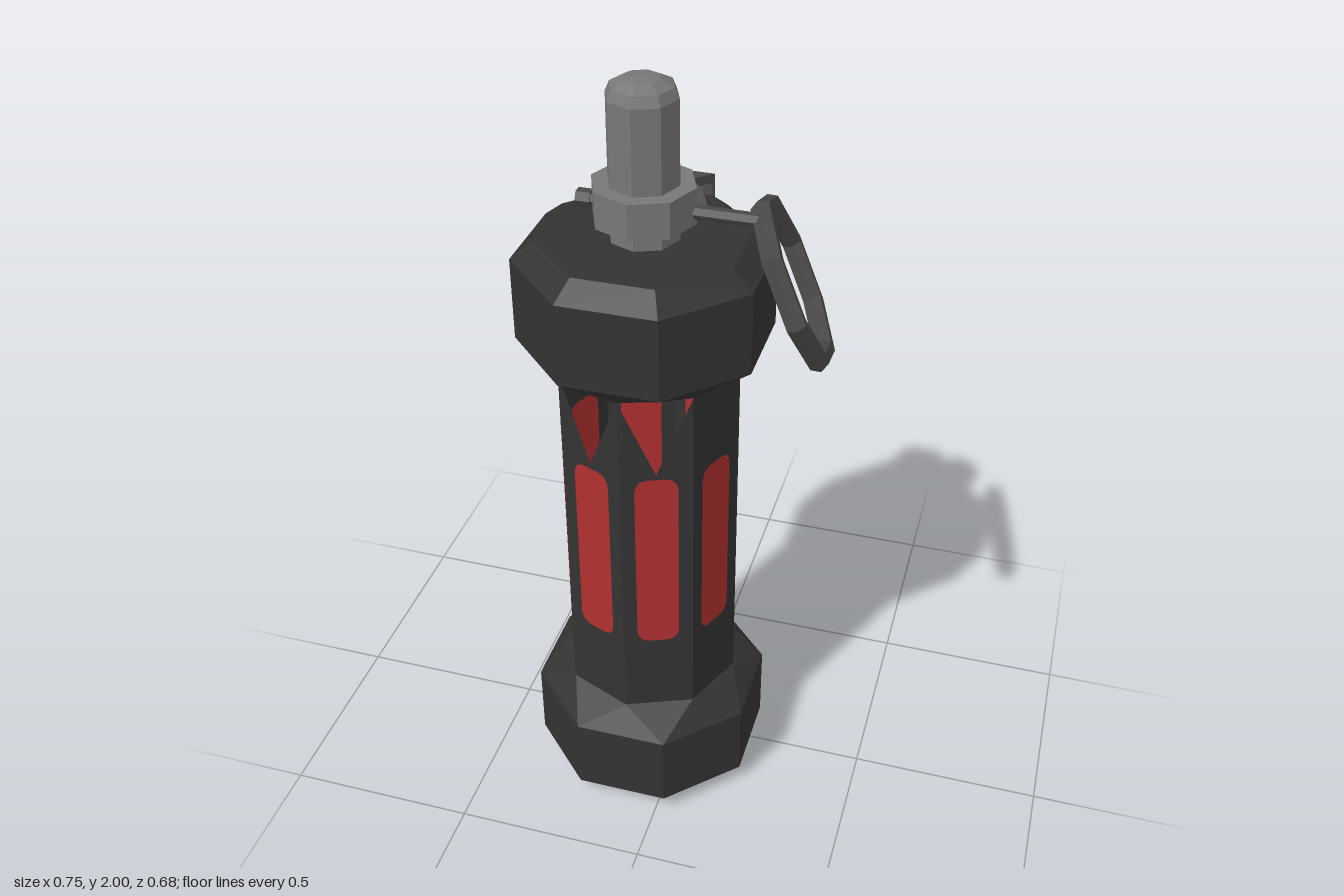
import * as THREE from 'three';
import { ConvexGeometry } from 'three/addons/geometries/ConvexGeometry.js';

const STEP = Math.PI / 4;
const paint = (color, side = THREE.FrontSide) =>
  new THREE.MeshStandardMaterial({ color, side, flatShading: true });
const dark = paint(0x333333);
const shell = paint(0x333333, THREE.DoubleSide);
const red = paint(0xb03030, THREE.DoubleSide);
const steel = paint(0x777777);
const leverGrey = paint(0x505050);
const ringGrey = paint(0x484848);

const BODY_R = 0.235;
const BODY_BOTTOM = 0.325;
const BODY_TOP = 1.3;

function part(name, geometry, material, parent) {
  const mesh = new THREE.Mesh(geometry, material);
  mesh.name = name;
  parent.add(mesh);
  return mesh;
}

const polygon = (points) => new THREE.Shape(points.map(([x, y]) => new THREE.Vector2(x, y)));

// Octagonal ring of points; phase is the angle of the first corner
function octagon(radius, y, phase) {
  return Array.from({ length: 8 }, (_, i) => {
    const a = phase + i * STEP;
    return new THREE.Vector3(Math.sin(a) * radius, y, Math.cos(a) * radius);
  });
}

// Solid end cap: flat-sided rings plus one ring matching the body corners
function capGeometry(flatRings, bodyY) {
  const points = octagon(BODY_R, bodyY, 0);
  for (const [halfWidth, y] of flatRings) {
    points.push(...octagon(halfWidth / Math.cos(STEP / 2), y, STEP / 2));
  }
  return new ConvexGeometry(points);
}

// Upright slot with softly rounded ends
function windowOutline(target) {
  const w = 0.054, lo = 0.55, hi = 1.07, r = 0.04;
  target.moveTo(-w, lo + r);
  target.quadraticCurveTo(-w, lo, -w * 0.35, lo);
  target.lineTo(w * 0.35, lo);
  target.quadraticCurveTo(w, lo, w, lo + r);
  target.lineTo(w, hi - r);
  target.quadraticCurveTo(w, hi, w * 0.35, hi);
  target.lineTo(-w * 0.35, hi);
  target.quadraticCurveTo(-w, hi, -w, hi - r);
  target.closePath();
  return target;
}

// Eight thin wall panels with coloured windows; three have a V notch at the top
function addBody(parent) {
  const half = BODY_R * Math.sin(STEP / 2);
  const inradius = BODY_R * Math.cos(STEP / 2);
  const notched = [0, 6, 7];
  const body = new THREE.Group();
  body.name = 'body';
  parent.add(body);
  for (let i = 0; i < 8; i++) {
    const corners = [[-half, BODY_BOTTOM], [half, BODY_BOTTOM], [half, BODY_TOP]];
    if (notched.includes(i)) corners.push([0, 1.085]);
    corners.push([-half, BODY_TOP]);
    const wall = polygon(corners);
    wall.holes.push(windowOutline(new THREE.Path()));
    const panel = new THREE.Group();
    panel.name = 'bodyPanel';
    panel.rotation.y = (i + 0.5) * STEP;
    part('wall', new THREE.ShapeGeometry(wall, 5), shell, panel).position.z = inradius;
    part('window', new THREE.ShapeGeometry(windowOutline(new THREE.Shape()), 5), red, panel)
      .position.z = inradius;
    body.add(panel);
  }
}

// Safety lever: bent strip plus a forked plate around the stem
function addLever(parent) {
  const lever = new THREE.Group();
  lever.name = 'lever';
  parent.add(lever);
  const strip = new THREE.ExtrudeGeometry(polygon([
    [0.145, 1.672], [0.365, 1.585], [0.365, 0.607], [0.267, 0.607], [0.267, 0.585],
    [0.387, 0.585], [0.387, 1.6], [0.145, 1.695],
  ]), { depth: 0.125, bevelEnabled: false });
  strip.rotateY(Math.PI / 2).translate(-0.0625, 0, 0);
  part('leverStrip', strip, leverGrey, lever);

  const rightEdge = [[0.0625, 0.155], [0.105, 0.115], [0.145, 0.02], [0.09, 0.02], [0.06, 0.1]];
  const leftEdge = rightEdge.map(([x, y]) => [-x, y]).reverse();
  const fork = new THREE.ExtrudeGeometry(
    polygon([...rightEdge, [0, 0.14], ...leftEdge]), { depth: 0.022, bevelEnabled: false });
  fork.rotateX(-Math.PI / 2).translate(0, 1.672, 0);
  part('leverFork', fork, leverGrey, lever);
}

// Pull pin through the collar, with a small head and a tilted octagonal ring
function addPin(parent) {
  const pin = new THREE.Group();
  pin.name = 'pullPin';
  parent.add(pin);
  const shaft = part('pinShaft', new THREE.CylinderGeometry(0.017, 0.017, 0.44, 6), ringGrey, pin);
  shaft.rotation.z = Math.PI / 2;
  shaft.position.set(0.06, 1.69, 0);
  const head = part('pinHead', new THREE.CylinderGeometry(0.022, 0.022, 0.035, 6), ringGrey, pin);
  head.rotation.z = Math.PI / 2;
  head.position.set(-0.143, 1.69, 0);
  const ring = part('pullRing', new THREE.TorusGeometry(0.198, 0.026, 6, 8), ringGrey, pin);
  ring.position.set(0.345, 1.518, -0.05);
  ring.lookAt(ring.position.clone().add(new THREE.Vector3(0.877, 0.44, -0.204)));
}

export function createModel() {
  const model = new THREE.Group();
  model.name = 'canister';
  const core = new THREE.Group();
  core.name = 'canisterCore';
  core.position.set(-0.095, 0, 0.047);
  model.add(core);

  // End caps
  part('bottomCap', capGeometry([[0.237, 0], [0.29, 0.05], [0.29, 0.26]], BODY_BOTTOM), dark, core);
  part('topCap', capGeometry([[0.29, 1.36], [0.29, 1.57], [0.237, 1.615]], BODY_TOP), dark, core);
  addBody(core);

  // Domed stem and its collar nut
  const profile = [[0, 1.23], [0.086, 1.23], [0.086, 1.955], [0.075, 1.98], [0.045, 1.995], [0, 2]];
  part('stem', new THREE.LatheGeometry(profile.map(([r, y]) => new THREE.Vector2(r, y)), 8), steel, core);
  part('collarNut', new THREE.CylinderGeometry(0.125, 0.125, 0.09, 8), steel, core).position.y = 1.705;

  addLever(core);
  addPin(core);
  return model;
}
